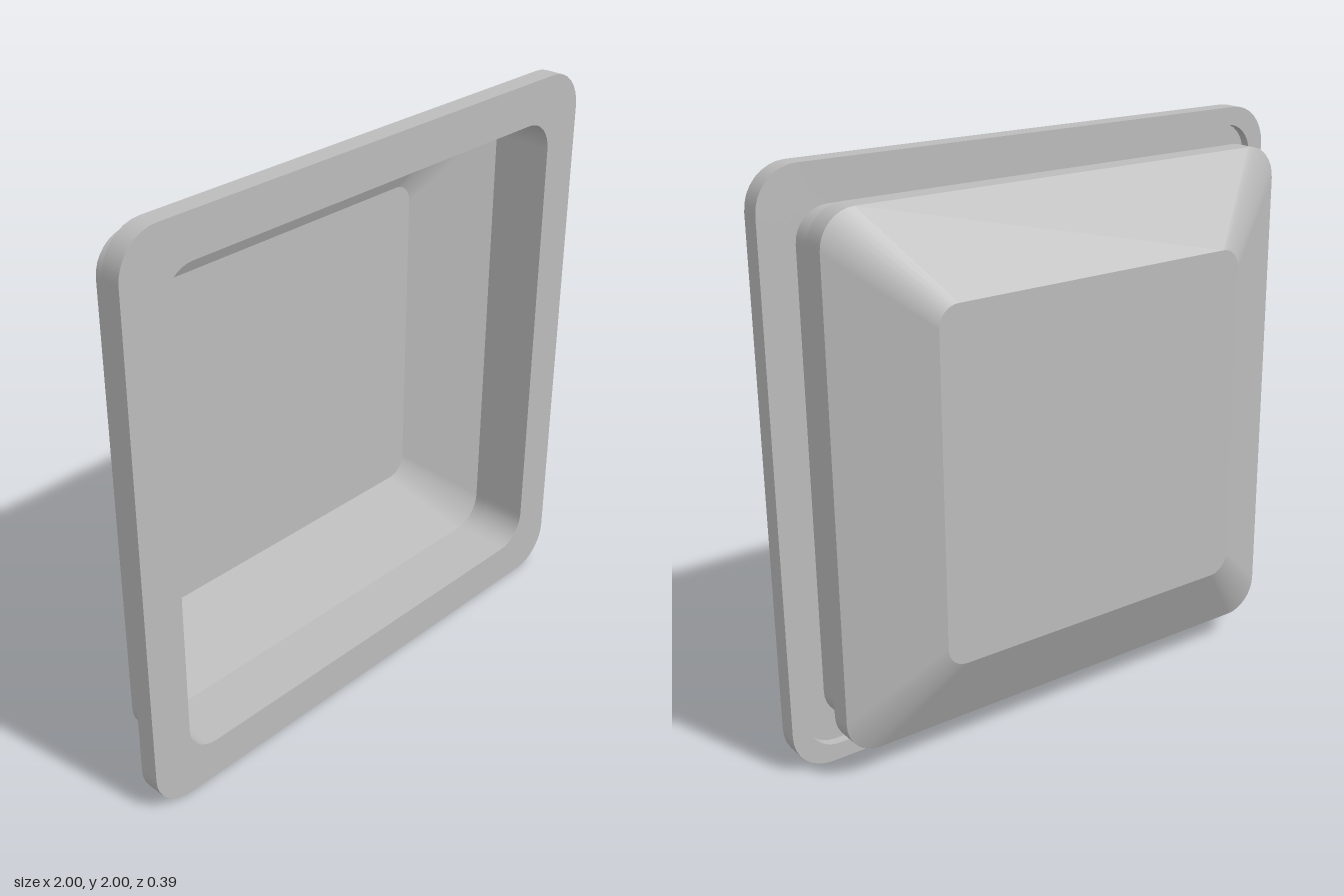
import * as THREE from 'three';

const STEPS = 8; // segments per rounded corner

// Point on a rounded square (half size, corner radius, z) at corner c, angle t
function corner(section, c, t) {
  const [half, r, z] = section;
  const k = half - r;
  const sx = c === 0 || c === 3 ? 1 : -1;
  const sy = c < 2 ? 1 : -1;
  return [sx * k + r * Math.cos(t), sy * k + r * Math.sin(t), z];
}

// Skin between successive rounded squares: crisp between bands, smooth round corners
function loft(sections) {
  const pos = [], nor = [], idx = [];
  const n = 4 * (STEPS + 1);
  for (let s = 0; s + 1 < sections.length; s++) {
    const a = sections[s], b = sections[s + 1];
    const start = pos.length / 3;
    for (let c = 0; c < 4; c++) {
      for (let j = 0; j <= STEPS; j++) {
        const t = (c + j / STEPS) * Math.PI / 2;
        const cs = Math.cos(t), sn = Math.sin(t);
        const reach = ([h, r]) => (h - r) * (Math.abs(cs) + Math.abs(sn)) + r;
        const dz = b[2] - a[2], dh = reach(b) - reach(a);
        const v = new THREE.Vector3(-cs * dz, -sn * dz, dh).normalize();
        pos.push(...corner(a, c, t), ...corner(b, c, t));
        nor.push(v.x, v.y, v.z, v.x, v.y, v.z);
      }
    }
    for (let i = 0; i < n; i++) {
      const p = start + 2 * i, q = start + 2 * ((i + 1) % n);
      idx.push(p, p + 1, q + 1, p, q + 1, q);
    }
  }
  const g = new THREE.BufferGeometry();
  g.setAttribute('position', new THREE.Float32BufferAttribute(pos, 3));
  g.setAttribute('normal', new THREE.Float32BufferAttribute(nor, 3));
  g.setIndex(idx);
  return g;
}

export function createModel() {
  const group = new THREE.Group();
  group.name = 'recessedSquareTray';
  const grey = new THREE.MeshStandardMaterial({ color: 0xbcbcbc });
  grey.name = 'grey';

  const add = (name, sections) => {
    const mesh = new THREE.Mesh(loft(sections), grey);
    mesh.name = name;
    mesh.position.y = 1;
    group.add(mesh);
  };

  // Each section is [half size, corner radius, z]
  // Inside of the dish, with its floor
  add('dishInside', [[0, 0, -0.19], [0.593, 0.07, -0.19], [0.882, 0.11, -0.043]]);
  // Inside of the wider rim, stepping in to the throat
  add('rimInside', [[0.882, 0.11, -0.043], [0.882, 0.11, 0.025], [0.853, 0.11, 0.025]]);
  // Straight wall behind the opening
  add('throat', [[0.853, 0.11, 0.025], [0.853, 0.11, 0.197]]);
  // Front flange with a shallow recess in its back
  add('flange', [
    [0.853, 0.11, 0.197], [1, 0.14, 0.197], [1, 0.14, 0.127],
    [0.94, 0.11, 0.127], [0.94, 0.11, 0.16], [0.861, 0.11, 0.16],
  ]);
  // Neck between flange and rim
  add('neck', [[0.861, 0.11, 0.16], [0.861, 0.11, 0.034]]);
  // Outer rim
  add('rimOutside', [[0.861, 0.11, 0.034], [0.892, 0.12, 0.034], [0.892, 0.12, -0.043]]);
  // Sloped back of the dish
  add('dishOutside', [[0.892, 0.12, -0.043], [0.598, 0.07, -0.197], [0, 0, -0.197]]);

  return group;
}
